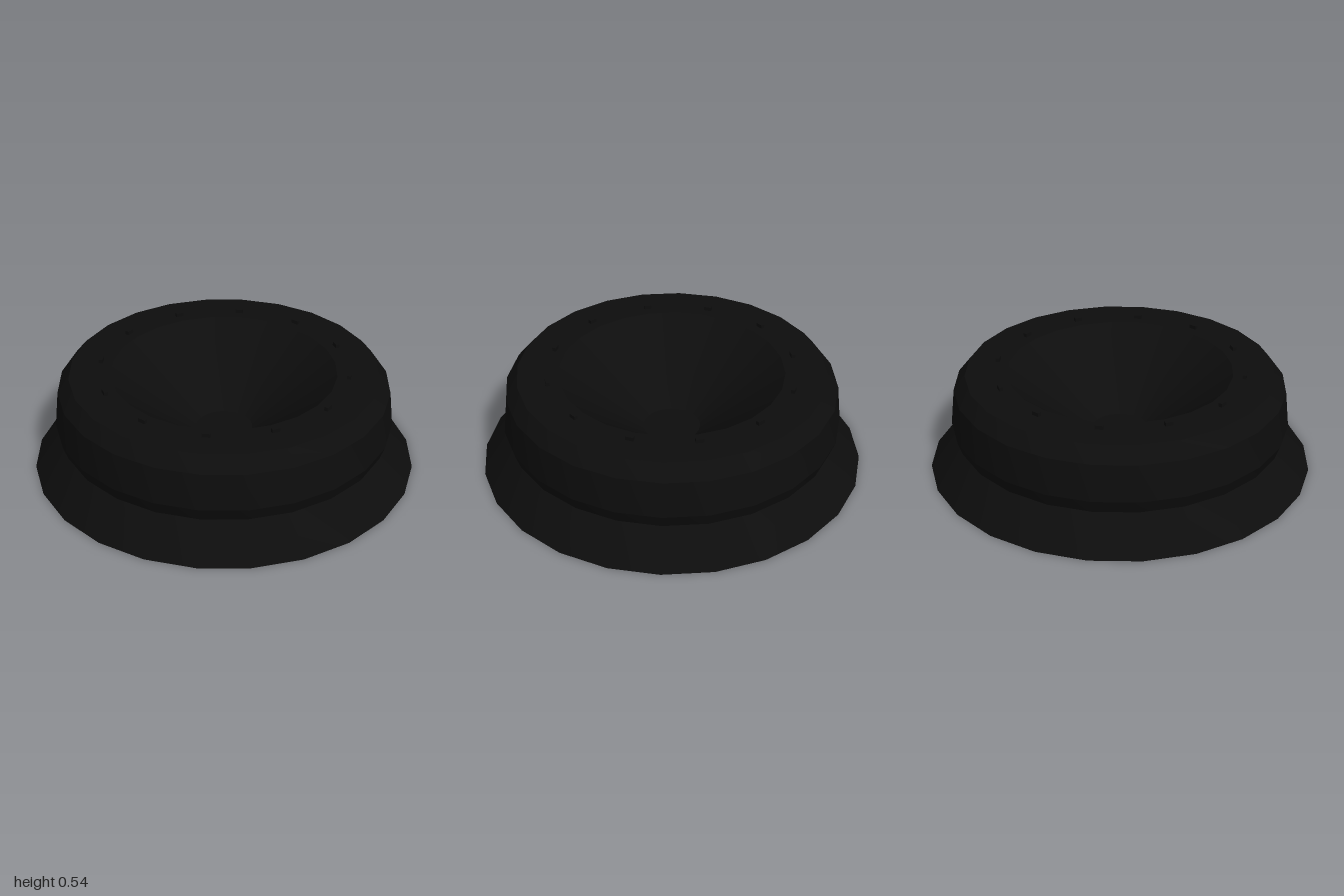
import * as THREE from 'three';
import { toCreasedNormals } from 'three/addons/utils/BufferGeometryUtils.js';

const SIDES = 24;

// Turns a profile of [radius, height] pairs into a solid with crisp edges
function turned(name, profile, material) {
  const points = profile.map(([r, y]) => new THREE.Vector2(r, y));
  const geometry = toCreasedNormals(new THREE.LatheGeometry(points, SIDES), 0.4);
  const mesh = new THREE.Mesh(geometry, material);
  mesh.name = name;
  return mesh;
}

export function createModel() {
  const model = new THREE.Group();
  model.name = 'speaker';
  const black = new THREE.MeshStandardMaterial({ color: 0x0d0d0d });
  black.name = 'black';

  // Shallow recessed underside and flared skirt
  model.add(turned('skirt', [[0, 0.04], [0.8, 0.04], [0.84, 0], [1, 0], [0.855, 0.18]], black));

  // Housing wall, bevelled shoulder and flat top ring
  model.add(turned('housing', [[0.855, 0.18], [0.88, 0.25], [0.86, 0.44], [0.8, 0.515], [0.585, 0.515]], black));

  // Sunken cone with a flat centre
  model.add(turned('cone', [[0.585, 0.515], [0.15, 0.17], [0, 0.17]], black));

  // Ring of twelve small studs
  const studs = new THREE.Group();
  studs.name = 'studs';
  const studGeometry = new THREE.BoxGeometry(0.04, 0.03, 0.02);
  for (let i = 0; i < 12; i++) {
    const angle = (i * Math.PI) / 6;
    const stud = new THREE.Mesh(studGeometry, black);
    stud.name = 'stud';
    stud.position.set(0.645 * Math.sin(angle), 0.52, 0.645 * Math.cos(angle));
    stud.rotation.y = angle;
    studs.add(stud);
  }
  model.add(studs);

  return model;
}
